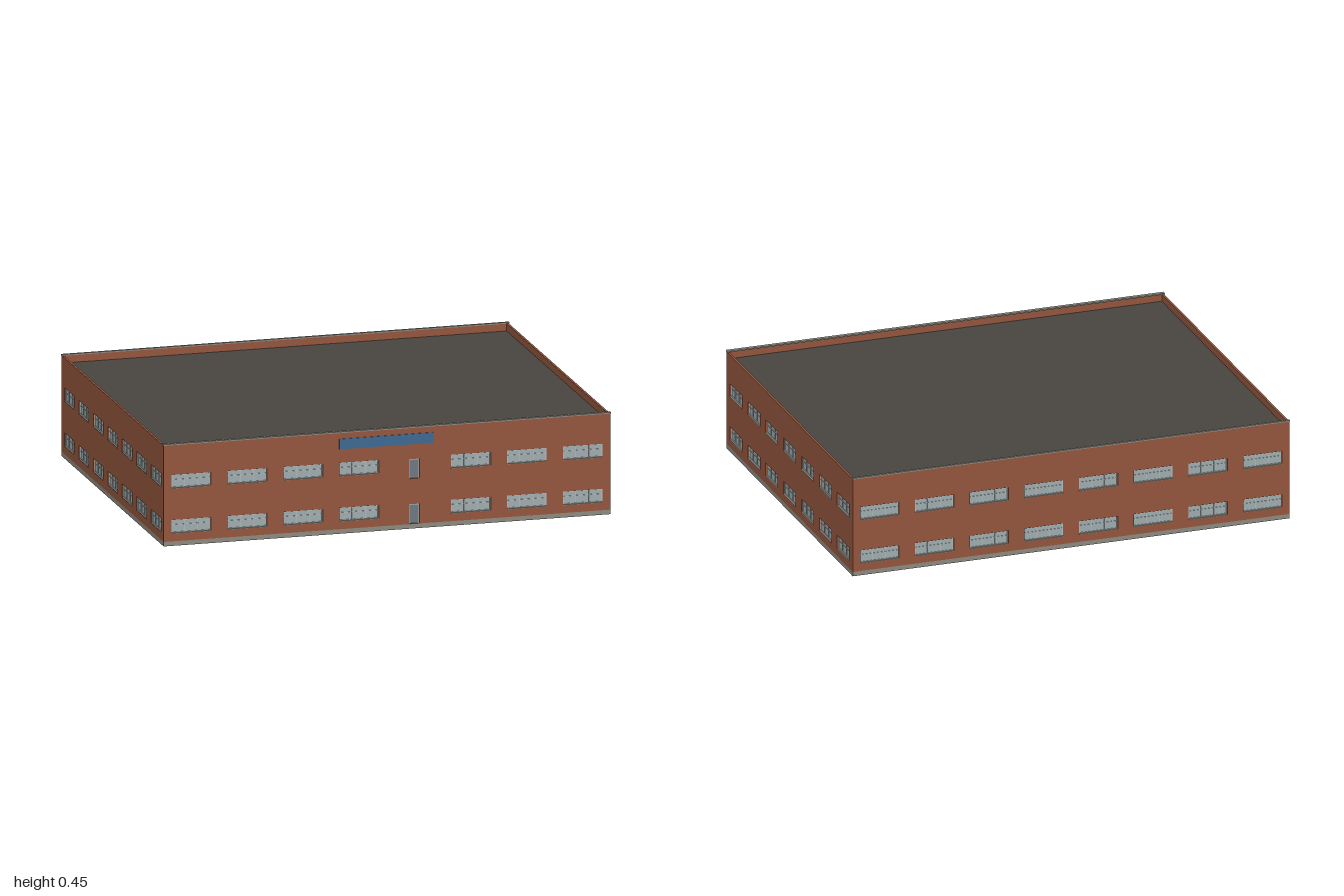
import * as THREE from 'three';

const paint = (color) => new THREE.MeshStandardMaterial({ color });
const BRICK = paint(0x96573f), STONE = paint(0x8f8b82), ROOF = paint(0x4a4742);
const FRAME = paint(0xb9c2c1), GLASS = paint(0xa3b0b2), DOOR = paint(0x6f7a84), BLUE = paint(0x3f6a94);

const TOP = 0.447, PLINTH = 0.02, STOREY = 0.2, THICK = 0.01;

function box(parent, name, mat, w, h, d, x, y, z) {
  const mesh = new THREE.Mesh(new THREE.BoxGeometry(w, h, d), mat);
  mesh.name = name;
  mesh.position.set(x, y, z);
  parent.add(mesh);
  return mesh;
}

function rectHole(x0, y0, x1, y1) {
  const p = new THREE.Path();
  p.moveTo(x0, y0).lineTo(x0, y1).lineTo(x1, y1).lineTo(x1, y0).closePath();
  return p;
}

// Glass with a bar grid, set back in its opening, and a slim sill
function addWindow(parent, x, y, w, h) {
  const g = new THREE.Group();
  g.name = 'window';
  g.position.set(x, y, 0);
  const bar = 0.003;
  box(g, 'glass', GLASS, w, h, 0.002, 0, 0, -0.009);
  for (const s of [-1, 1]) {
    box(g, 'frameRail', FRAME, w, bar, 0.004, 0, s * (h - bar) / 2, -0.007);
    box(g, 'frameStile', FRAME, bar, h, 0.004, s * (w - bar) / 2, 0, -0.007);
    box(g, 'mullion', FRAME, bar * 0.7, h, 0.003, s * w / 6, 0, -0.007);
  }
  box(g, 'transom', FRAME, w, bar * 0.7, 0.003, 0, h * 0.1, -0.007);
  box(g, 'sill', STONE, w, 0.003, 0.012, 0, -h / 2 - 0.001, -0.004);
  parent.add(g);
}

function addDoor(parent, x, y, w, h) {
  const g = new THREE.Group();
  g.name = 'door';
  g.position.set(x, y, 0);
  const bar = 0.004;
  box(g, 'doorLeaf', DOOR, w, h, 0.002, 0, 0, -0.009);
  for (const s of [-1, 1]) box(g, 'doorJamb', FRAME, bar, h, 0.004, s * (w - bar) / 2, 0, -0.007);
  box(g, 'doorHead', FRAME, w, bar, 0.004, 0, (h - bar) / 2, -0.007);
  parent.add(g);
}

// One facade: outer face on z = 0 looking along +z, two storeys of openings
function makeWall({ name, width, bays, pitch, winWidth, doorBay = -1 }) {
  const wall = new THREE.Group();
  wall.name = name;
  const shape = new THREE.Shape();
  shape.moveTo(-width / 2, PLINTH).lineTo(width / 2, PLINTH).lineTo(width / 2, TOP).lineTo(-width / 2, TOP).closePath();
  for (let floor = 0; floor < 2; floor++) {
    for (let i = 0; i < bays; i++) {
      const isDoor = i === doorBay;
      const x = (i - (bays - 1) / 2) * pitch - (isDoor ? 0.003 : 0);
      const w = isDoor ? 0.044 : winWidth, h = isDoor ? 0.087 : 0.058;
      // doors stand just above the floor line so the opening stays a closed hole
      const y = PLINTH + floor * STOREY + (isDoor ? 0.045 : 0.066);
      shape.holes.push(rectHole(x - w / 2, y - h / 2, x + w / 2, y + h / 2));
      (isDoor ? addDoor : addWindow)(wall, x, y, w, h);
    }
  }
  const geo = new THREE.ExtrudeGeometry(shape, { depth: THICK, bevelEnabled: false });
  geo.translate(0, 0, -THICK);
  const brick = new THREE.Mesh(geo, BRICK);
  brick.name = 'brickwork';
  wall.add(brick);
  box(wall, 'plinth', STONE, width, PLINTH, THICK, 0, PLINTH / 2, -THICK / 2);
  return wall;
}

export function createModel() {
  const model = new THREE.Group();
  model.name = 'building';
  const X = 0.998, Z = 0.798;

  // Long facades, front one with the entrance bay
  const long = { width: 2 * X, bays: 8, pitch: 0.25, winWidth: 0.177 };
  const front = makeWall({ ...long, name: 'frontWall', doorBay: 4 });
  front.position.z = Z;
  const back = makeWall({ ...long, name: 'backWall' });
  back.position.z = -Z;
  back.rotation.y = Math.PI;
  model.add(front, back);

  // Fascia panel above the entrance
  box(front, 'fasciaPanel', BLUE, 0.42, 0.046, 0.004, -0.004, 0.398, 0.001);

  // Side facades fitted between the long ones
  for (const s of [-1, 1]) {
    const side = makeWall({
      name: s > 0 ? 'leftWall' : 'rightWall', width: 2 * (Z - THICK),
      bays: 7, pitch: 0.2257, winWidth: 0.152,
    });
    side.position.x = s * X;
    side.rotation.y = s * Math.PI / 2;
    model.add(side);
  }

  // Stone copings on the long parapets
  box(front, 'frontCoping', STONE, 2, 0.006, 0.018, 0, TOP + 0.003, -0.007);
  box(back, 'backCoping', STONE, 2, 0.006, 0.012, 0, TOP + 0.003, -0.004);

  // Flat roof below the parapet, and the floor slabs
  const w = 2 * (X - THICK), d = 2 * (Z - THICK);
  box(model, 'roof', ROOF, w, 0.01, d, 0, 0.41, 0);
  box(model, 'upperFloor', ROOF, w, 0.01, d, 0, PLINTH + STOREY - 0.005, 0);
  box(model, 'groundSlab', ROOF, w, PLINTH, d, 0, PLINTH / 2, 0);
  return model;
}
